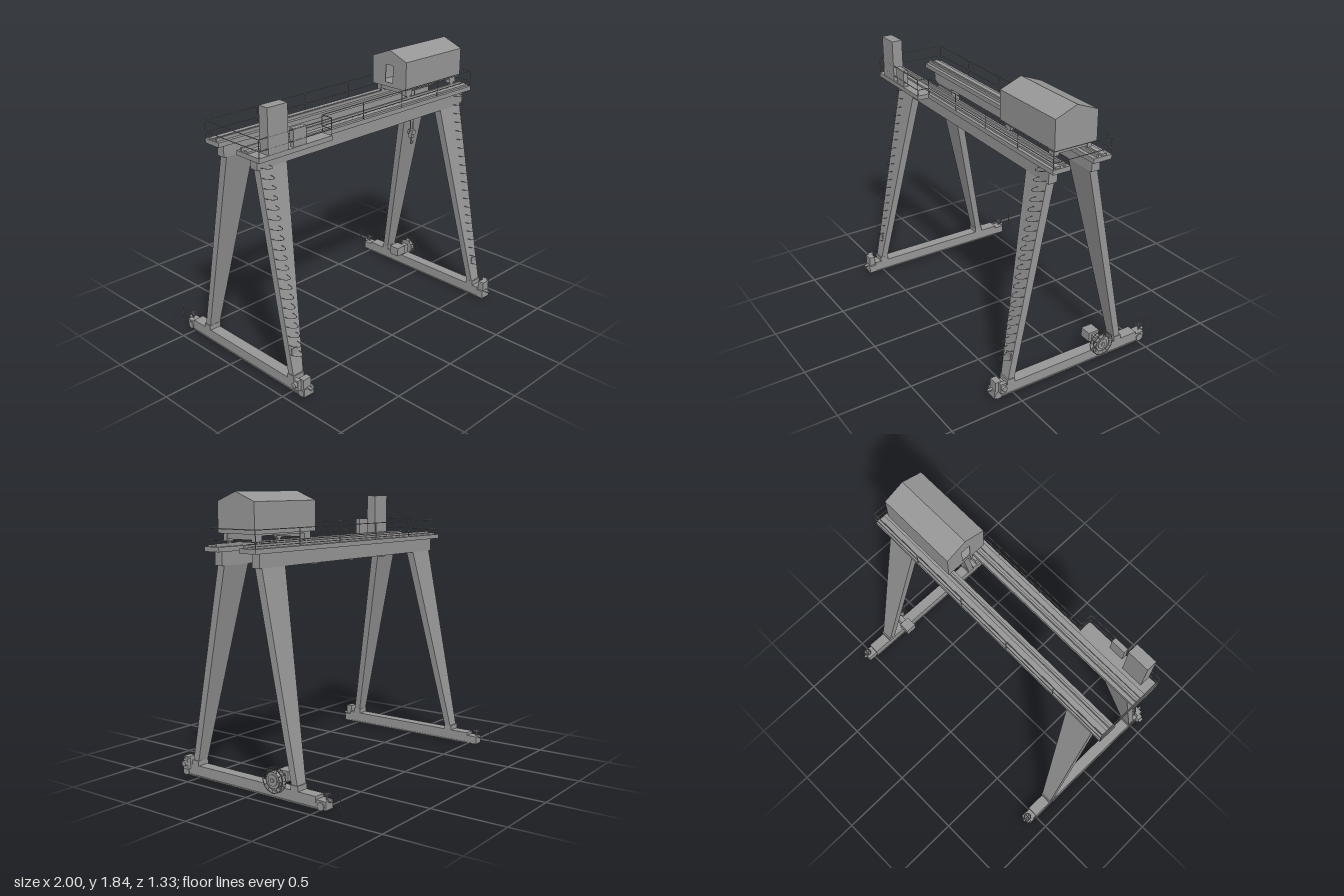
import * as THREE from 'three';

const mat = new THREE.MeshStandardMaterial({ color: 0x969696, flatShading: true, side: THREE.DoubleSide });

export function createModel() {
  const root = new THREE.Group();
  const crane = new THREE.Group();
  crane.name = 'gantryCrane';
  crane.rotation.y = -0.0145; // the crane stands slightly askew
  root.add(crane);

  const add = (name, geo) => {
    const m = new THREE.Mesh(geo, mat);
    m.name = name;
    crane.add(m);
    return m;
  };
  // Box given by its limits on each axis
  const box = (name, x0, x1, y0, y1, z0, z1) => add(name,
    new THREE.BoxGeometry(Math.abs(x1 - x0), y1 - y0, Math.abs(z1 - z0))
      .translate((x0 + x1) / 2, (y0 + y1) / 2, (z0 + z1) / 2));
  // Round bar between two points
  const bar = (name, a, b, r = 0.003, sides = 6) => {
    const p = new THREE.Vector3(...a), q = new THREE.Vector3(...b);
    const m = add(name, new THREE.CylinderGeometry(r, r, p.distanceTo(q), sides));
    m.position.copy(p).lerp(q, 0.5);
    m.quaternion.setFromUnitVectors(new THREE.Vector3(0, 1, 0), q.sub(p).normalize());
    return m;
  };
  // Box whose bottom and top rectangles differ: [x0, x1, z0, z1, y]
  const taper = (name, bottom, top) => {
    const geo = new THREE.BoxGeometry(1, 1, 1), p = geo.attributes.position;
    for (let i = 0; i < p.count; i++) {
      const r = p.getY(i) < 0 ? bottom : top;
      p.setXYZ(i, p.getX(i) < 0 ? r[0] : r[1], r[4], p.getZ(i) < 0 ? r[2] : r[3]);
    }
    geo.computeVertexNormals();
    return add(name, geo);
  };

  // Two main girders with deck, crane rail and cable duct
  const mid = 0.09;
  for (const s of [1, -1]) {
    const z = d => mid + s * d;
    box('girder', -0.932, 0.932, 1.388, 1.476, z(0.123), z(0.183));
    box('deck', -0.996, 0.998, 1.476, 1.506, z(0.083), z(s > 0 ? 0.202 : 0.212));
    box('craneRail', -0.99, 0.99, 1.506, 1.526, z(0.108), z(0.122));
    box('cableDuct', -0.99, 0.99, 1.506, 1.518, z(0.145), z(0.18));
    for (const x of [-0.35, 0.02, 0.39]) box('girderBracket', x - 0.022, x + 0.022, 1.38, 1.388, z(0.135), z(0.17));
  }
  box('sidePlatform', -0.996, -0.428, 1.476, 1.506, 0.28, 0.374);
  box('tallCabinet', -0.926, -0.775, 1.49, 1.787, 0.299, 0.372);
  box('lowCabinet', -0.735, -0.633, 1.506, 1.62, 0.338, 0.37);

  // Guard rail running around the deck
  const loop = [[-0.993, 0.37], [-0.43, 0.37], [-0.43, 0.288], [0.995, 0.288], [0.995, -0.12], [-0.993, -0.12]];
  loop.forEach(([x0, z0], i) => {
    const [x1, z1] = loop[(i + 1) % loop.length];
    for (const y of [1.546, 1.616]) bar('handRail', [x0, y, z0], [x1, y, z1]);
    const n = x0 === x1 ? 1 : Math.round(Math.abs(x1 - x0) / 0.4);
    for (let k = 0; k < n; k++) {
      const x = x0 + (x1 - x0) * k / n;
      bar('railPost', [x, 1.48, z0], [x, 1.616, z0]);
    }
  });

  for (const s of [1, -1]) {
    const xs = (a, b) => (s > 0 ? [a, b] : [-b, -a]);
    const side = (name, a, b, ...r) => box(name, ...xs(a, b), ...r);
    // Tapered legs, splayed front and back
    for (const [zb, zt] of [[0.505, 0.243], [-0.329, -0.063]]) {
      taper('leg', [...xs(0.832, 0.911), zb - 0.023, zb + 0.023, 0.1], [...xs(0.701, 0.911), zt - 0.028, zt + 0.028, 1.39]);
      side('legCollar', 0.83, 0.916, 0.08, 0.115, zb - 0.028, zb + 0.028);
    }
    // Step irons up the front leg
    for (let y = 0.25; y < 1.47; y += 0.0605) {
      const z = 0.526 + (0.271 - 0.526) * (y - 0.1) / 1.29;
      const rung = add('stepIron', new THREE.TorusGeometry(0.033, 0.0018, 4, 10, Math.PI).rotateX(Math.PI / 2).scale(1, 1, 1.9));
      rung.position.set(s * 0.872, y, z);
      rung.rotation.x = -0.06;
    }
    side('legHatch', 0.853, 0.897, 0.25, 0.285, 0.47, 0.5);

    // Ground beam with end trucks
    side('groundBeam', 0.835, 0.912, 0.014, 0.082, -0.49, 0.575);
    side('beamFlange', 0.83, 0.917, 0.008, 0.016, -0.49, 0.575);
    for (const x of [0.845, 0.892]) side('beamRunner', x, x + 0.01, 0, 0.01, -0.5, 0.58);
    side('frontTruck', 0.835, 0.912, 0.008, 0.062, 0.575, 0.625);
    side('frontTruckHousing', 0.85, 0.912, 0.062, 0.125, 0.575, 0.617);
    side('rearTruck', 0.84, 0.908, 0.008, 0.062, -0.562, -0.49);
    side('driveBox', 0.912, 0.938, 0.05, 0.12, 0.555, 0.595);
    bar('driveMotor', [s * 0.933, 0.09, 0.575], [s * 0.955, 0.09, 0.575], 0.018, 12);
    for (const z of [0.595, -0.525]) bar('truckWheel', [s * 0.85, 0.028, z], [s * 0.915, 0.028, z], 0.026, 14);
    bar('frontBuffer', [s * 0.874, 0.06, 0.62], [s * 0.874, 0.06, 0.653], 0.01, 10);
    bar('rearBuffer', [s * 0.874, 0.06, -0.56], [s * 0.874, 0.06, -0.58], 0.01, 10);
    // Rail clamp hand wheel
    bar('clampSpindle', [s * 0.876, 0.06, -0.545], [s * 0.876, 0.105, -0.545], 0.005, 8);
    const wheel = add('handWheel', new THREE.TorusGeometry(0.023, 0.0035, 6, 16).rotateX(Math.PI / 2));
    wheel.position.set(s * 0.876, 0.097, -0.545);
    for (const [dx, dz] of [[0.022, 0], [0, 0.022]]) {
      bar('handWheelSpoke', [s * 0.876 - dx, 0.097, -0.545 - dz], [s * 0.876 + dx, 0.097, -0.545 + dz]);
    }
    bar('railMarker', [s * 0.883, 0.02, -0.65], [s * 0.883, 0.13, -0.65], 0.004);
  }

  // Cable reel and its drive on the +x ground beam
  const ry = 0.125, rz = -0.183;
  box('reelDrive', 0.768, 0.85, 0.1, 0.165, rz - 0.04, rz + 0.04);
  box('reelStand', 0.84, 0.905, 0.08, 0.15, rz - 0.02, rz + 0.02);
  bar('reelAxle', [0.84, ry, rz], [0.952, ry, rz], 0.014, 12);
  bar('reelDrum', [0.915, ry, rz], [0.94, ry, rz], 0.052, 24);
  bar('reelHub', [0.94, ry, rz], [0.946, ry, rz], 0.036, 20);
  for (const x of [0.913, 0.943]) {
    for (const r of [0.08, 0.054]) add('reelRim', new THREE.TorusGeometry(r, 0.003, 5, 12).rotateY(Math.PI / 2)).position.set(x, ry, rz);
    for (let k = 0; k < 12; k++) {
      const c = Math.cos(k * Math.PI / 6), d = Math.sin(k * Math.PI / 6);
      bar('reelSpoke', [x, ry + 0.05 * c, rz + 0.05 * d], [x, ry + 0.08 * c, rz + 0.08 * d], 0.002, 4);
    }
  }

  // Trolley house: hollow gabled shell, closed end, and end with a doorway
  const points = list => list.map(p => new THREE.Vector2(...p));
  const gable = (w, y0, eave, ridge) => points([[-w, y0], [w, y0], [w, eave], [0, ridge], [-w, eave]]);
  const slab = (name, x0, x1, hole) => {
    const shape = new THREE.Shape(gable(0.149, 1.585, 1.777, 1.835));
    if (hole) shape.holes.push(new THREE.Path(hole));
    const geo = new THREE.ExtrudeGeometry(shape, { depth: x1 - x0, bevelEnabled: false });
    add(name, geo.rotateY(Math.PI / 2).translate(x0, 0, mid));
  };
  slab('houseShell', 0.378, 0.93, gable(0.143, 1.591, 1.774, 1.828));
  slab('houseDoorEnd', 0.373, 0.378, points([[-0.032, 1.615], [0.032, 1.615], [0.032, 1.735], [-0.032, 1.735]]));
  slab('houseClosedEnd', 0.93, 0.935);

  // Trolley frame and wheels
  for (const s of [1, -1]) {
    box('trolleyBeam', 0.4, 0.91, 1.574, 1.587, mid + s * 0.095, mid + s * 0.13);
    for (const x of [0.43, 0.88]) {
      box('wheelBox', x - 0.03, x + 0.03, 1.54, 1.576, mid + s * 0.1, mid + s * 0.13);
      bar('trolleyWheel', [x, 1.547, mid + s * 0.104], [x, 1.547, mid + s * 0.126], 0.021, 14);
    }
  }
  for (const x of [0.43, 0.88]) box('trolleyCrossbeam', x - 0.025, x + 0.025, 1.55, 1.587, mid - 0.1, mid + 0.1);

  // Hoist ropes, pulley block and hook
  const hx = 0.605, hz = 0.1;
  bar('hoistDrum', [0.56, 1.575, hz], [0.82, 1.575, hz], 0.012, 12);
  bar('hoistCable', [0.56, 1.515, hz], [0.82, 1.515, hz]);
  for (const s of [1, -1]) {
    bar('hoistRope', [hx + s * 0.02, 1.575, hz], [hx + s * 0.013, 1.22, hz], 0.003);
    bar('pulley', [hx, 1.215, hz + s * 0.008], [hx, 1.215, hz + s * 0.022], 0.02, 14);
  }
  box('hookBlock', hx - 0.014, hx + 0.014, 1.175, 1.235, hz - 0.014, hz + 0.014);
  bar('hookShank', [hx, 1.15, hz], [hx, 1.18, hz], 0.005, 8);
  const curve = new THREE.CatmullRomCurve3([[0, 1.165], [0.002, 1.152], [-0.006, 1.142], [-0.005, 1.132], [0.007, 1.129], [0.017, 1.135], [0.02, 1.146]]
    .map(([x, y]) => new THREE.Vector3(hx + x, y, hz)));
  add('hook', new THREE.TubeGeometry(curve, 20, 0.004, 6));

  return root;
}
